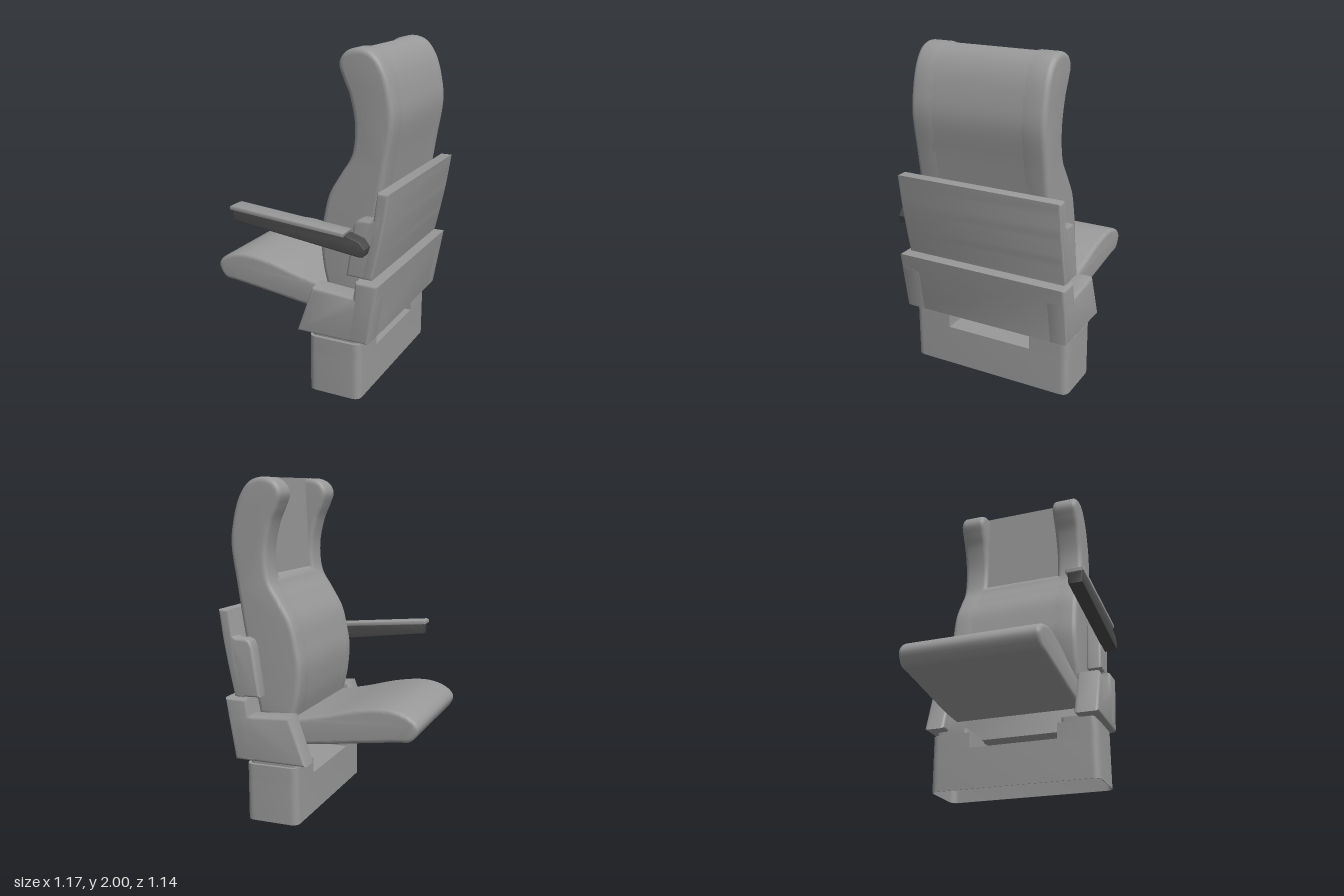
import * as THREE from 'three';
import { toCreasedNormals } from 'three/addons/utils/BufferGeometryUtils.js';

const material = new THREE.MeshStandardMaterial({ color: 0x999999 });
const darkMaterial = new THREE.MeshStandardMaterial({ color: 0x484848 });
const vec = (pts) => pts.map(([x, y]) => new THREE.Vector2(x, y));

// Side profile (x, y) swept from z0 to z1 with rounded edges inside the outline
function profile(name, pts, z0, z1, bevel = 0, mat = material) {
  const g = new THREE.ExtrudeGeometry(new THREE.Shape(pts), {
    depth: z1 - z0 - 2 * bevel, bevelEnabled: bevel > 0, bevelThickness: bevel,
    bevelSize: bevel, bevelOffset: -bevel, bevelSegments: 4,
  });
  g.translate(0, 0, z0 + bevel);
  return named(name, g, mat);
}

function named(name, geometry, mat = material) {
  const mesh = new THREE.Mesh(toCreasedNormals(geometry, 0.7), mat);
  mesh.name = name;
  return mesh;
}

// Plan rectangle (x, z) with separate corner radii at the low-z and high-z ends
function plan(path, x0, x1, z0, z1, rLow, rHigh) {
  path.moveTo(x0 + rLow, z0);
  path.lineTo(x1 - rLow, z0);
  path.quadraticCurveTo(x1, z0, x1, z0 + rLow);
  path.lineTo(x1, z1 - rHigh);
  path.quadraticCurveTo(x1, z1, x1 - rHigh, z1);
  path.lineTo(x0 + rHigh, z1);
  path.quadraticCurveTo(x0, z1, x0, z1 - rHigh);
  path.lineTo(x0, z0 + rLow);
  path.quadraticCurveTo(x0, z0, x0 + rLow, z0);
  return path;
}

// Plan shape raised from y0 to y1
function upright(name, shape, y0, y1) {
  const g = new THREE.ExtrudeGeometry(shape, { depth: y1 - y0, bevelEnabled: false, curveSegments: 6 });
  g.rotateX(Math.PI / 2).translate(0, y1, 0);
  return named(name, g);
}

export function createModel() {
  const model = new THREE.Group();
  model.name = 'passengerSeat';

  // Backrest: two full-profile side bolsters and a middle with a head recess
  const backOutline = new THREE.SplineCurve(vec([
    [0.167, 0.62], [0.137, 0.75], [0.123, 0.915], [0.143, 1.05], [0.177, 1.18], [0.246, 1.3],
    [0.315, 1.42], [0.33, 1.58], [0.3, 1.735], [0.26, 1.83], [0.234, 1.91], [0.27, 1.975],
    [0.35, 2], [0.435, 1.975], [0.5, 1.89], [0.54, 1.76], [0.556, 1.61], [0.524, 1.39],
    [0.487, 1.15], [0.437, 0.88], [0.387, 0.62],
  ])).getPoints(120);
  const recessed = backOutline.map((p) =>
    new THREE.Vector2(p.y > 1.42 ? Math.max(p.x, 0.345 + (p.y - 1.42) * 0.045) : p.x, p.y));
  model.add(
    profile('backrestRightBolster', backOutline, -0.45, -0.285, 0.03),
    profile('backrestLeftBolster', backOutline, 0.215, 0.384, 0.03),
    profile('backrestMiddle', recessed, -0.335, 0.265),
  );

  // Seat cushion
  const cushionOutline = new THREE.SplineCurve(vec([
    [0.22, 0.46], [0.06, 0.468], [-0.2, 0.502], [-0.45, 0.535], [-0.54, 0.548], [-0.585, 0.62],
    [-0.555, 0.675], [-0.47, 0.715], [-0.36, 0.725], [-0.2, 0.702], [-0.02, 0.655],
    [0.125, 0.625], [0.22, 0.61],
  ])).getPoints(70);
  model.add(profile('cushion', cushionOutline, -0.45, 0.382, 0.025));

  // Pedestal: hollow below, with a raised post at each end
  const walls = plan(new THREE.Shape(), 0.105, 0.432, -0.547, 0.498, 0.05, 0.05);
  walls.holes.push(plan(new THREE.Path(), 0.109, 0.428, -0.543, 0.494, 0.048, 0.048));
  model.add(
    upright('pedestalWalls', walls, 0, 0.24),
    upright('pedestalDeck', plan(new THREE.Shape(), 0.105, 0.432, -0.547, 0.498, 0.05, 0.05), 0.24, 0.25),
    upright('pedestalRightPost', plan(new THREE.Shape(), 0.105, 0.432, -0.547, -0.3, 0.05, 0), 0.25, 0.345),
    upright('pedestalLeftPost', plan(new THREE.Shape(), 0.105, 0.432, 0.253, 0.498, 0, 0.05), 0.25, 0.345),
  );
  for (const [z0, z1] of [[-0.525, -0.32], [0.27, 0.477]])
    model.add(upright('mountingPlate', plan(new THREE.Shape(), 0.12, 0.413, z0, z1, 0.03, 0.03), 0.34, 0.38));

  // Lower shell: rear panel with a cheek on each side of the cushion
  const lowerCheek = vec([[0.04, 0.37], [0.488, 0.37], [0.534, 0.64], [0.37, 0.64], [0.14, 0.655]]);
  const lowerPanel = vec([[0.36, 0.37], [0.488, 0.37], [0.55, 0.737], [0.41, 0.737], [0.395, 0.64]]);
  model.add(
    profile('lowerRearPanel', lowerPanel, -0.571, 0.52, 0.02),
    profile('lowerRightCheek', lowerCheek, -0.571, -0.445, 0.02),
    profile('lowerLeftCheek', lowerCheek, 0.375, 0.52, 0.02),
  );

  // Upper shell: thin rear panel, slightly bowed, with narrow side plates
  const upperPanel = [
    ...new THREE.SplineCurve(vec([[0.492, 0.745], [0.526, 0.9], [0.557, 1.06], [0.585, 1.252]])).getPoints(12),
    ...vec([[0.517, 1.252], [0.49, 1.06], [0.425, 0.745]]),
  ];
  const upperPlate = vec([
    [0.335, 0.75], [0.488, 0.745], [0.56, 1.13], [0.505, 1.14], [0.495, 1.1], [0.475, 1.09],
    [0.42, 1.09], [0.39, 1.075], [0.375, 1.04],
  ]);
  model.add(
    profile('upperRearPanel', upperPanel, -0.555, 0.48, 0.014),
    profile('upperRightPlate', upperPlate, -0.555, -0.462, 0.016),
    profile('upperLeftPlate', upperPlate, 0.385, 0.48, 0.016),
  );

  // Armrest on the +z side: wide pad over a narrower dark beam
  const pad = vec([[-0.36, 1.065], [0.36, 1.008], [0.365, 1.03], [-0.345, 1.09], [-0.36, 1.085]]);
  const beam = vec([
    [-0.345, 1.0], [0.44, 0.905], [0.47, 0.905], [0.482, 0.95], [0.45, 0.99], [0.37, 1.015], [-0.35, 1.07],
  ]);
  model.add(
    profile('armrestPad', pad, 0.463, 0.572, 0.004),
    profile('armrestBeam', beam, 0.475, 0.559, 0.006, darkMaterial),
  );
  return model;
}
